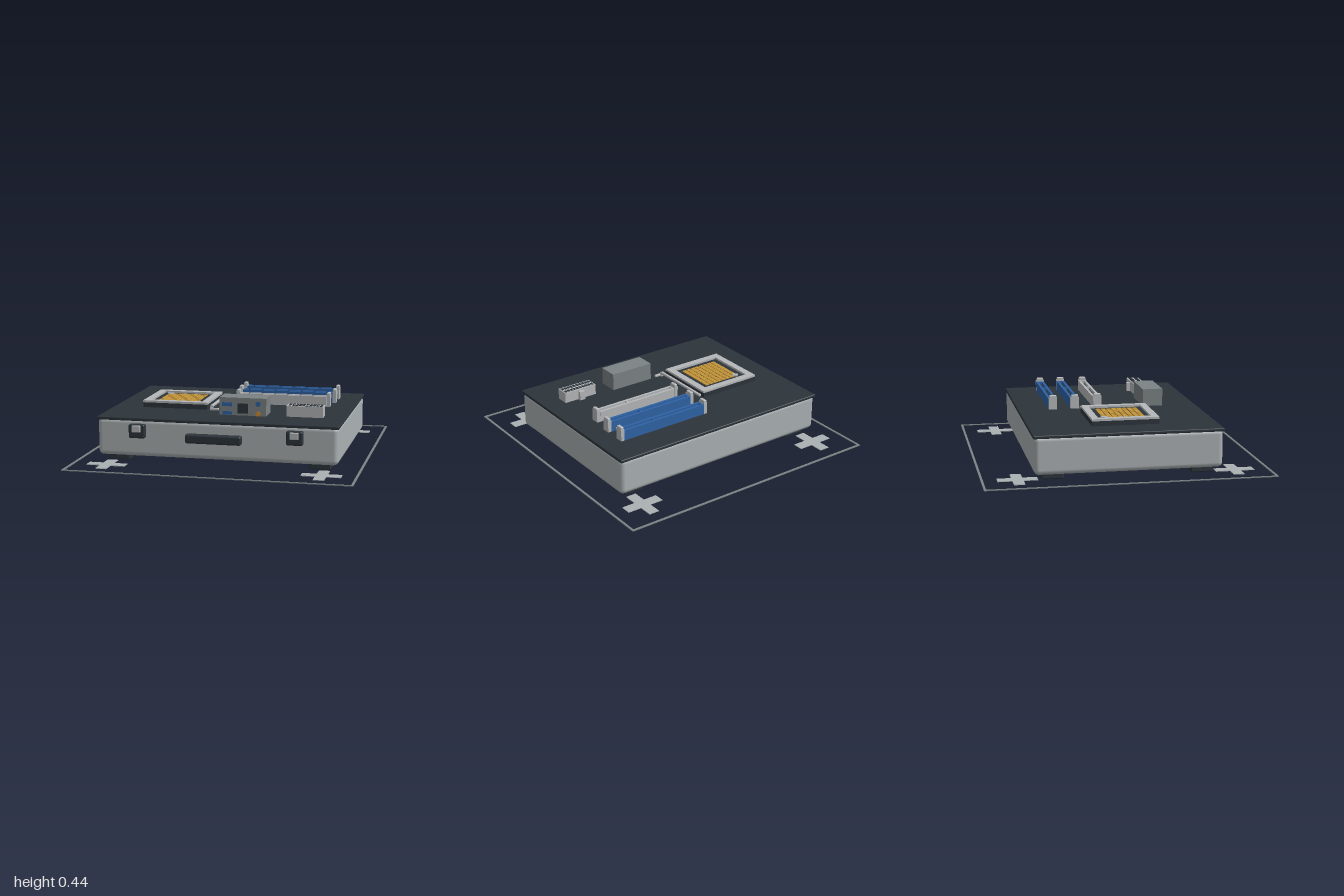
import * as THREE from 'three';
import { RoundedBoxGeometry } from 'three/addons/geometries/RoundedBoxGeometry.js';

export function createModel() {
  const root = new THREE.Group();
  root.name = 'motherboardTestCase';
  const mat = (name, color) => {
    const m = new THREE.MeshStandardMaterial({ color });
    m.name = name;
    return m;
  };
  const shell = mat('shell grey', 0xabb1b3);
  const dark = mat('dark slate', 0x2c343b);
  const metal = mat('metal grey', 0x7c8284);
  const plastic = mat('light plastic', 0xb4b7b9);
  const blue = mat('slot blue', 0x2f63a6);
  const gold = mat('contact gold', 0xc4953a);
  const orange = mat('jack orange', 0xd08a2c);

  const group = (name, parent = root) => {
    const g = new THREE.Group();
    g.name = name;
    parent.add(g);
    return g;
  };
  // Box given by its limits on each axis; r rounds the edges
  const box = (name, m, [x0, x1], [y0, y1], [z0, z1], parent = root, r = 0) => {
    const s = [x1 - x0, y1 - y0, z1 - z0];
    const geo = r ? new RoundedBoxGeometry(...s, 3, r) : new THREE.BoxGeometry(...s);
    const mesh = new THREE.Mesh(geo, m);
    mesh.name = name;
    mesh.position.set((x0 + x1) / 2, (y0 + y1) / 2, (z0 + z1) / 2);
    parent.add(mesh);
    return mesh;
  };

  // Case and top panel
  box('caseBody', shell, [-0.85, 0.85], [0.045, 0.312], [-0.65, 0.65], root, 0.035);
  box('topPanel', dark, [-0.853, 0.853], [0.297, 0.32], [-0.656, 0.656], root, 0.006);

  // Feet and floor marker crosses
  for (const sx of [-1, 1]) for (const sz of [-1, 1]) {
    const x = sx * 0.713, z = sz * 0.517, c = sx * 0.753, d = sz * 0.753;
    box('foot', dark, [x - 0.077, x + 0.077], [0.002, 0.05], [z - 0.077, z + 0.077], root, 0.01);
    const cross = new THREE.Shape();
    const a = 0.137, b = 0.038;
    [[-b, -a], [b, -a], [b, -b], [a, -b], [a, b], [b, b], [b, a], [-b, a], [-b, b], [-a, b], [-a, -b], [-b, -b]]
      .forEach(([px, py], i) => (i ? cross.lineTo(px, py) : cross.moveTo(px, py)));
    const mesh = new THREE.Mesh(new THREE.ExtrudeGeometry(cross, { depth: 0.005, bevelEnabled: false }), shell);
    mesh.name = 'floorCross';
    mesh.rotation.x = -Math.PI / 2;
    mesh.position.set(c, 0, d);
    root.add(mesh);
  }

  // Floor border
  const border = group('floorBorder');
  for (const s of [-1, 1]) {
    const a = s * 0.992;
    box('borderLong', metal, [-1, 1], [0, 0.006], [a - 0.008, a + 0.008], border);
    box('borderSide', metal, [a - 0.008, a + 0.008], [0, 0.006], [-0.984, 0.984], border);
  }

  // Handle and latches on the front
  box('handle', dark, [-0.198, 0.195], [0.172, 0.236], [0.682, 0.736], root, 0.014);
  for (const s of [-1, 1]) {
    const x = s * 0.555;
    const latch = group('latch');
    box('latchBody', dark, [x - 0.058, x + 0.058], [0.182, 0.28], [0.645, 0.694], latch, 0.012);
    box('latchTab', plastic, [x - 0.03, x + 0.03], [0.226, 0.274], [0.69, 0.708], latch, 0.005);
  }

  // Processor socket
  const socket = group('processorSocket');
  box('socketBase', dark, [-0.636, -0.16], [0.32, 0.355], [-0.222, 0.25], socket);
  for (const [z0, z1] of [[-0.222, -0.172], [0.2, 0.25]])
    box('frameBar', plastic, [-0.638, -0.158], [0.355, 0.37], [z0, z1], socket);
  for (const [x0, x1] of [[-0.638, -0.588], [-0.208, -0.158]])
    box('frameSide', plastic, [x0, x1], [0.355, 0.37], [-0.172, 0.2], socket);
  for (let i = 0; i < 8; i++) for (let j = 0; j < 8; j++) {
    const x = -0.531 + i * 0.0378, z = -0.116 + j * 0.0378;
    box('contactPad', gold, [x - 0.016, x + 0.016], [0.354, 0.36], [z - 0.016, z + 0.016], socket);
  }
  const mark = box('pinOneMark', plastic, [-0.549, -0.511], [0.356, 0.364], [-0.139, -0.101], socket);
  mark.rotation.y = Math.PI / 4;

  // Socket lever with bent end
  const lever = group('socketLever');
  box('leverArm', plastic, [-0.136, -0.115], [0.338, 0.356], [-0.224, 0.252], lever, 0.005);
  box('leverPost', plastic, [-0.136, -0.115], [0.32, 0.35], [0.245, 0.262], lever);
  box('leverTip', plastic, [-0.136, -0.07], [0.32, 0.338], [0.256, 0.274], lever, 0.005);

  // Memory slots: two blue, one light
  const slot = (m, x0, x1, z, key) => {
    const g = group('memorySlot');
    box('slotFloor', dark, [x0 + 0.01, x1 - 0.01], [0.32, 0.375], [z - 0.014, z + 0.014], g);
    for (const s of [-1, 1]) {
      const c = z + s * 0.021;
      box('slotWall', m, [x0, x1], [0.32, 0.395], [c - 0.009, c + 0.009], g);
    }
    for (const [a, b, name] of [[x0, x0 + 0.014, 'slotEnd'], [x1 - 0.014, x1, 'slotEnd'], [key - 0.008, key + 0.008, 'slotKey']])
      box(name, m, [a, b], [0.32, 0.395], [z - 0.013, z + 0.013], g);
    for (const [a, b] of [[x0 - 0.028, x0 - 0.002], [x1 + 0.002, x1 + 0.028]]) {
      box('slotClip', plastic, [a, b], [0.32, 0.405], [z - 0.03, z + 0.03], g);
      box('clipHead', plastic, [a, b], [0.395, 0.422], [z - 0.026, z + 0.026], g, 0.006);
    }
  };
  slot(blue, 0, 0.674, -0.403, 0.415);
  slot(blue, 0, 0.674, -0.243, 0.415);
  slot(plastic, 0.016, 0.655, -0.074, 0.41);

  // Port block with painted ports
  const ports = group('portBlock');
  box('portHousing', metal, [-0.03, 0.304], [0.32, 0.445], [0.262, 0.408], ports);
  const face = [0.406, 0.413];
  for (const [y0, y1] of [[0.383, 0.41], [0.324, 0.347]])
    box('flatPort', blue, [-0.01, 0.062], [y0, y1], face, ports);
  box('networkPort', dark, [0.1, 0.174], [0.335, 0.405], face, ports);
  for (const [m, y] of [[blue, 0.405], [orange, 0.334]]) {
    const jack = new THREE.Mesh(new THREE.CylinderGeometry(0.018, 0.018, 0.008, 20), m);
    jack.name = 'audioJack';
    jack.rotation.x = Math.PI / 2;
    jack.position.set(0.246, y, 0.409);
    ports.add(jack);
  }

  // Power connector with two rows of sockets
  const power = group('powerConnector');
  box('connectorBody', plastic, [0.443, 0.7], [0.32, 0.397], [0.286, 0.38], power);
  box('connectorTab', plastic, [0.55, 0.592], [0.32, 0.385], [0.26, 0.288], power);
  for (let i = 0; i < 10; i++) for (const z of [0.311, 0.355]) {
    const x = 0.4615 + i * 0.0245;
    box('pinHole', dark, [x - 0.009, x + 0.009], [0.393, 0.399], [z - 0.014, z + 0.014], power);
  }

  return root;
}
